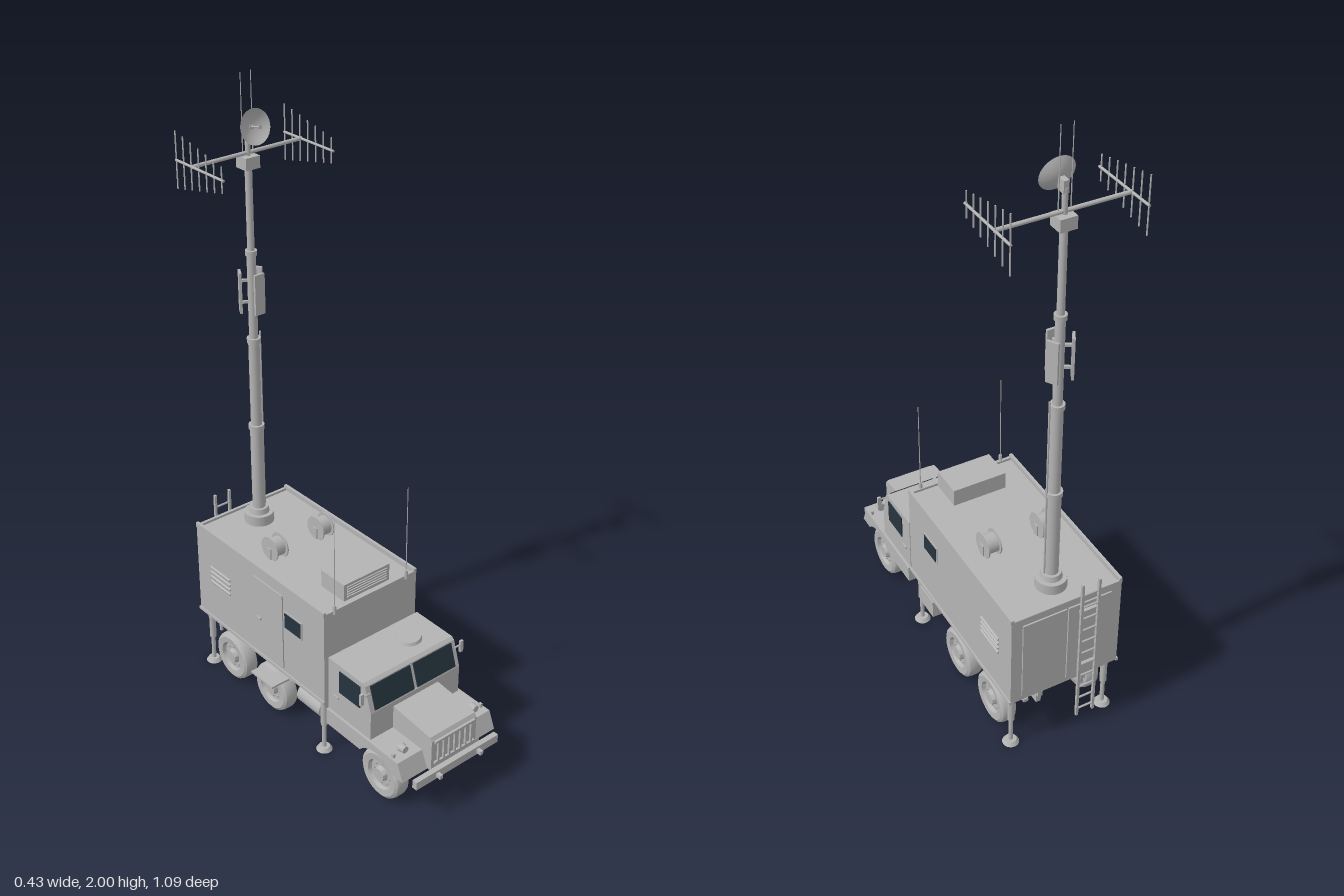
import * as THREE from 'three';
import { toCreasedNormals } from 'three/addons/utils/BufferGeometryUtils.js';

export function createModel() {
  const root = new THREE.Group();
  root.name = 'antennaTruck';
  const truck = new THREE.Group();
  truck.name = 'truck';
  truck.position.x = 0.008;
  root.add(truck);

  const paint = new THREE.MeshStandardMaterial({ color: 0xb4b4b4, side: THREE.DoubleSide });
  paint.name = 'greyPaint';
  const glass = new THREE.MeshStandardMaterial({ color: 0x26343e });
  glass.name = 'darkGlass';

  const add = (name, geo, x = 0, y = 0, z = 0, mat = paint, parent = truck) => {
    const m = new THREE.Mesh(geo, mat);
    m.name = name;
    m.position.set(x, y, z);
    parent.add(m);
    return m;
  };
  // box given by its min and max on each axis
  const box = (name, x0, x1, y0, y1, z0, z1, mat = paint) =>
    add(name, new THREE.BoxGeometry(x1 - x0, y1 - y0, z1 - z0), (x0 + x1) / 2, (y0 + y1) / 2, (z0 + z1) / 2, mat);
  const cyl = (name, r, h, x, y, z, axis = 'y', r2 = r, n = 24) => {
    const g = new THREE.CylinderGeometry(r2, r, h, n);
    if (axis === 'x') g.rotateZ(Math.PI / 2);
    if (axis === 'z') g.rotateX(Math.PI / 2);
    return add(name, g, x, y, z);
  };
  const creasedLathe = (pts, n = 36) =>
    toCreasedNormals(new THREE.LatheGeometry(pts.map(p => new THREE.Vector2(...p)), n), 0.6);
  // side profile in (z, y), extruded across x and centred on x
  const sideExtrude = (name, shape, width, x = 0) => {
    const g = new THREE.ExtrudeGeometry(shape, { depth: width, bevelEnabled: false, curveSegments: 16 });
    g.rotateY(-Math.PI / 2);
    g.translate(width / 2, 0, 0);
    return add(name, g, x);
  };
  const poly = pts => new THREE.Shape(pts.map(p => new THREE.Vector2(...p)));

  // chassis
  for (const s of [-1, 1]) {
    box('frameRail', s * 0.074 - 0.008, s * 0.074 + 0.008, 0.138, 0.17, -0.5, 0.5);
    box('shelterRail', s * 0.074 - 0.008, s * 0.074 + 0.008, 0.17, 0.205, -0.51, 0.12);
  }
  for (const z of [-0.49, -0.28, -0.06, 0.1]) box('crossBeam', -0.17, 0.17, 0.176, 0.206, z - 0.01, z + 0.01);
  for (const z of [-0.45, -0.27, -0.02, 0.2, 0.42]) box('frameCrossMember', -0.07, 0.07, 0.145, 0.165, z - 0.01, z + 0.01);
  cyl('driveShaft', 0.01, 0.72, 0, 0.1, 0, 'z');

  // wheels, axles and springs
  const wheelGeo = creasedLathe([[0, -0.027], [0.07, -0.027], [0.08, -0.021], [0.083, -0.012], [0.083, 0.012],
    [0.08, 0.021], [0.071, 0.027], [0.051, 0.025], [0.047, 0.013], [0.025, 0.013], [0.021, 0.027], [0, 0.027]]);
  const boltGeo = new THREE.CylinderGeometry(0.004, 0.004, 0.006, 6);
  for (const z of [0.367, -0.164, -0.375]) {
    cyl('axle', 0.012, 0.28, 0, 0.083, z, 'x');
    add('differential', new THREE.SphereGeometry(0.03, 20, 14), 0, 0.083, z);
    for (const s of [-1, 1]) {
      const wheel = new THREE.Group();
      wheel.name = 'wheel';
      wheel.position.set(s * 0.146, 0.083, z);
      wheel.rotation.z = -s * Math.PI / 2;
      truck.add(wheel);
      add('tyreAndRim', wheelGeo, 0, 0, 0, paint, wheel);
      for (let i = 0; i < 8; i++) {
        const a = i * Math.PI / 4;
        add('wheelBolt', boltGeo, 0.035 * Math.cos(a), 0.015, 0.035 * Math.sin(a), paint, wheel);
      }
      box('leafSpring', s * 0.09 - 0.008, s * 0.09 + 0.008, 0.1, 0.112, z - 0.08, z + 0.08);
      box('springHanger', s * 0.085 - 0.006, s * 0.085 + 0.006, 0.11, 0.145, z - 0.012, z + 0.012);
    }
  }

  // cab
  sideExtrude('cabBody', poly([[0.14, 0.19], [0.335, 0.19], [0.335, 0.295], [0.308, 0.38], [0.298, 0.388], [0.14, 0.39]]), 0.357);
  cyl('roofHatch', 0.042, 0.01, 0.069, 0.394, 0.222, 'y', 0.038);
  box('cabFloor', -0.17, 0.17, 0.145, 0.2, 0.14, 0.27);
  for (const s of [-1, 1]) {
    const pane = add('windshield', new THREE.BoxGeometry(0.155, 0.078, 0.006), s * 0.084, 0.34, 0.3225, glass);
    pane.rotation.x = -0.301;
    box('doorWindow', s * 0.179 - 0.003, s * 0.179 + 0.003, 0.292, 0.37, 0.193, 0.288, glass);
    box('doorHandle', s * 0.179 - 0.004, s * 0.179 + 0.004, 0.262, 0.268, 0.165, 0.19);
    cyl('mirrorArm', 0.003, 0.03, s * 0.187, 0.36, 0.32, 'x', 0.003, 8);
    box('mirror', s * 0.2 - 0.006, s * 0.2 + 0.006, 0.332, 0.372, 0.314, 0.322);
    // fender and lower cab side with a wheel arch
    const side = new THREE.Shape();
    side.moveTo(0.14, 0.143);
    side.lineTo(0.296, 0.143);
    side.absarc(0.367, 0.083, 0.093, 2.44, 0.70, true);
    side.lineTo(0.488, 0.143);
    side.lineTo(0.464, 0.2);
    side.lineTo(0.14, 0.2);
    sideExtrude('fender', side, 0.1, s * 0.137);
    cyl('headlight', 0.014, 0.02, s * 0.143, 0.218, 0.44, 'z', 0.011);
    box('sideMarker', s * 0.177 - 0.004, s * 0.177 + 0.004, 0.2, 0.214, 0.43, 0.44);
    box('towHook', s * 0.082 - 0.006, s * 0.082 + 0.006, 0.135, 0.148, 0.5, 0.542);
  }
  box('windshieldPost', -0.004, 0.004, 0.295, 0.302, 0.33, 0.338);

  // hood and grille
  sideExtrude('hood', poly([[0.33, 0.145], [0.504, 0.145], [0.504, 0.252], [0.496, 0.265], [0.33, 0.281]]), 0.18);
  for (let i = 0; i < 7; i++) box('grilleBar', -0.069 + i * 0.022, -0.063 + i * 0.022, 0.172, 0.245, 0.503, 0.511);
  for (const y of [0.168, 0.245]) box('grilleFrame', -0.08, 0.08, y, y + 0.008, 0.503, 0.511);
  box('bumper', -0.166, 0.166, 0.128, 0.156, 0.507, 0.525);

  // shelter
  box('shelter', -0.183, 0.183, 0.207, 0.528, -0.522, 0.126);
  for (const s of [-1, 1]) {
    box('roofRail', s * 0.18 - 0.005, s * 0.18 + 0.005, 0.528, 0.544, -0.522, 0.126);
    box('lowerTrim', s * 0.184 - 0.004, s * 0.184 + 0.004, 0.204, 0.214, -0.524, 0.128);
    box('windowFrame', s * 0.183 - 0.003, s * 0.183 + 0.003, 0.386, 0.449, -0.065, 0.022);
    box('shelterWindow', s * 0.185 - 0.003, s * 0.185 + 0.003, 0.391, 0.444, -0.06, 0.017, glass);
    for (let i = 0; i < 4; i++) {
      const slat = box('ventSlat', s * 0.184 - 0.004, s * 0.184 + 0.004, 0.352 + i * 0.018, 0.358 + i * 0.018, -0.45, -0.345);
      slat.rotation.z = -s * 0.4;
    }
    box('rearDoor', s * 0.075 - 0.072, s * 0.075 + 0.072, 0.225, 0.51, -0.527, -0.52);
    cyl('whipAntennaBase', 0.007, 0.03, s * 0.142, 0.54, 0.125, 'y', 0.005, 12);
    cyl('whipAntenna', 0.0018, 0.31, s * 0.142, 0.695, 0.125, 'y', 0.0012, 6);
    // stabiliser jacks
    for (const z of [0.098, -0.49]) {
      cyl('jackSleeve', 0.011, 0.11, s * 0.162, 0.153, z, 'y', 0.011, 16);
      cyl('jackRod', 0.007, 0.1, s * 0.162, 0.06, z, 'y', 0.007, 12);
      cyl('jackPad', 0.026, 0.012, s * 0.162, 0.006, z, 'y', 0.018);
    }
  }
  for (const z of [-0.517, 0.121]) box('roofRail', -0.18, 0.18, 0.526, 0.536, z - 0.005, z + 0.005);
  box('sideDoor', -0.187, -0.18, 0.225, 0.5, -0.216, -0.072);
  box('sideDoorHandle', -0.192, -0.186, 0.35, 0.358, -0.2, -0.18);
  box('sideStep', -0.222, -0.13, 0.15, 0.157, -0.196, -0.088);
  box('batteryBox', 0.09, 0.172, 0.095, 0.158, 0, 0.09);
  cyl('fuelTank', 0.036, 0.11, -0.128, 0.13, 0.02, 'z');

  // rear ladder
  for (const x of [-0.093, -0.037]) box('ladderRail', x - 0.004, x + 0.004, 0.06, 0.6, -0.545, -0.536);
  for (let i = 0; i < 11; i++) cyl('ladderRung', 0.0035, 0.056, -0.065, 0.085 + i * 0.047, -0.54, 'x', 0.0035, 8);
  for (const y of [0.26, 0.48]) box('ladderBracket', -0.093, -0.037, y, y + 0.008, -0.538, -0.52);

  // roof equipment
  box('airConditioner', -0.09, 0.09, 0.534, 0.592, 0, 0.106);
  box('airConditionerBase', -0.08, 0.08, 0.526, 0.536, 0.006, 0.1);
  for (let i = 0; i < 5; i++) box('airConditionerSlat', -0.078, 0.078, 0.543 + i * 0.009, 0.547 + i * 0.009, 0.104, 0.11);
  for (const s of [-1, 1]) {
    const x = s * 0.092;
    cyl('cableReel', 0.031, 0.044, x, 0.562, -0.225, 'x');
    for (const e of [-1, 1]) {
      cyl('reelFlange', 0.041, 0.004, x + e * 0.02, 0.562, -0.225, 'x', 0.041, 28);
      box('reelStand', x + e * 0.024 - 0.002, x + e * 0.024 + 0.002, 0.526, 0.566, -0.235, -0.215);
    }
  }

  // telescopic mast
  const mz = -0.428;
  cyl('mastBase', 0.048, 0.034, 0, 0.545, mz, 'y', 0.048, 32);
  cyl('mastFoot', 0.034, 0.02, 0, 0.57, mz, 'y', 0.03);
  [[0.53, 0.88, 0.021], [0.88, 1.18, 0.0175], [1.18, 1.465, 0.014], [1.465, 1.725, 0.011]].forEach(([a, b, r]) => {
    cyl('mastSection', r, b - a, 0, (a + b) / 2, mz);
    if (b < 1.7) cyl('mastCollar', r + 0.004, 0.016, 0, b - 0.006, mz);
  });
  cyl('mastCable', 0.003, 0.65, 0.024, 0.87, mz, 'y', 0.003, 8);
  box('mastHead', -0.025, 0.025, 1.72, 1.757, mz - 0.024, mz + 0.024);
  cyl('headPole', 0.008, 0.08, 0, 1.79, mz, 'y', 0.008, 12);
  for (const s of [-1, 1]) cyl('headRod', 0.0018, 0.245, s * 0.018, 1.877, mz, 'y', 0.0012, 6);

  // sector panels around the mast
  for (let i = 0; i < 3; i++) {
    const panel = new THREE.Group();
    panel.name = 'sectorPanel';
    panel.position.set(0, 1.336, mz);
    panel.rotation.y = i * Math.PI * 2 / 3;
    truck.add(panel);
    add('panelFace', new THREE.BoxGeometry(0.036, 0.13, 0.008), 0, 0, 0.036, paint, panel);
    for (const y of [-0.035, 0.035]) add('panelArm', new THREE.BoxGeometry(0.008, 0.008, 0.03), 0, y, 0.02, paint, panel);
  }

  // crossbar with a comb antenna at each end
  cyl('crossbar', 0.006, 0.39, 0, 1.765, mz, 'x', 0.006, 12);
  for (const s of [-1, 1]) {
    const x = s * 0.193;
    cyl('antennaBoom', 0.004, 0.228, x, 1.765, -0.393, 'z', 0.004, 8);
    for (let i = 0; i < 7; i++) {
      cyl('antennaElement', 0.0022, 0.17 - i * 0.0155, x, 1.765, -0.504 + i * 0.036, 'y', 0.0022, 6);
    }
  }

  // dish
  const dish = new THREE.Group();
  dish.name = 'dish';
  dish.position.set(0, 1.845, -0.408);
  dish.rotation.x = -0.22;
  truck.add(dish);
  const bowl = [];
  for (let i = 0; i <= 8; i++) bowl.push(new THREE.Vector2(0.0065 * i, 0.02 * (i / 8) ** 2));
  add('dishBowl', new THREE.LatheGeometry(bowl, 32).rotateX(Math.PI / 2), 0, 0, 0, paint, dish);
  add('dishFeed', new THREE.CylinderGeometry(0.003, 0.003, 0.042, 8).rotateX(Math.PI / 2), 0, 0, 0.02, paint, dish);
  add('dishFeedHorn', new THREE.CylinderGeometry(0.006, 0.004, 0.008, 12).rotateX(Math.PI / 2), 0, 0, 0.04, paint, dish);
  box('dishMount', -0.008, 0.008, 1.815, 1.85, mz - 0.006, mz + 0.022);

  return root;
}
